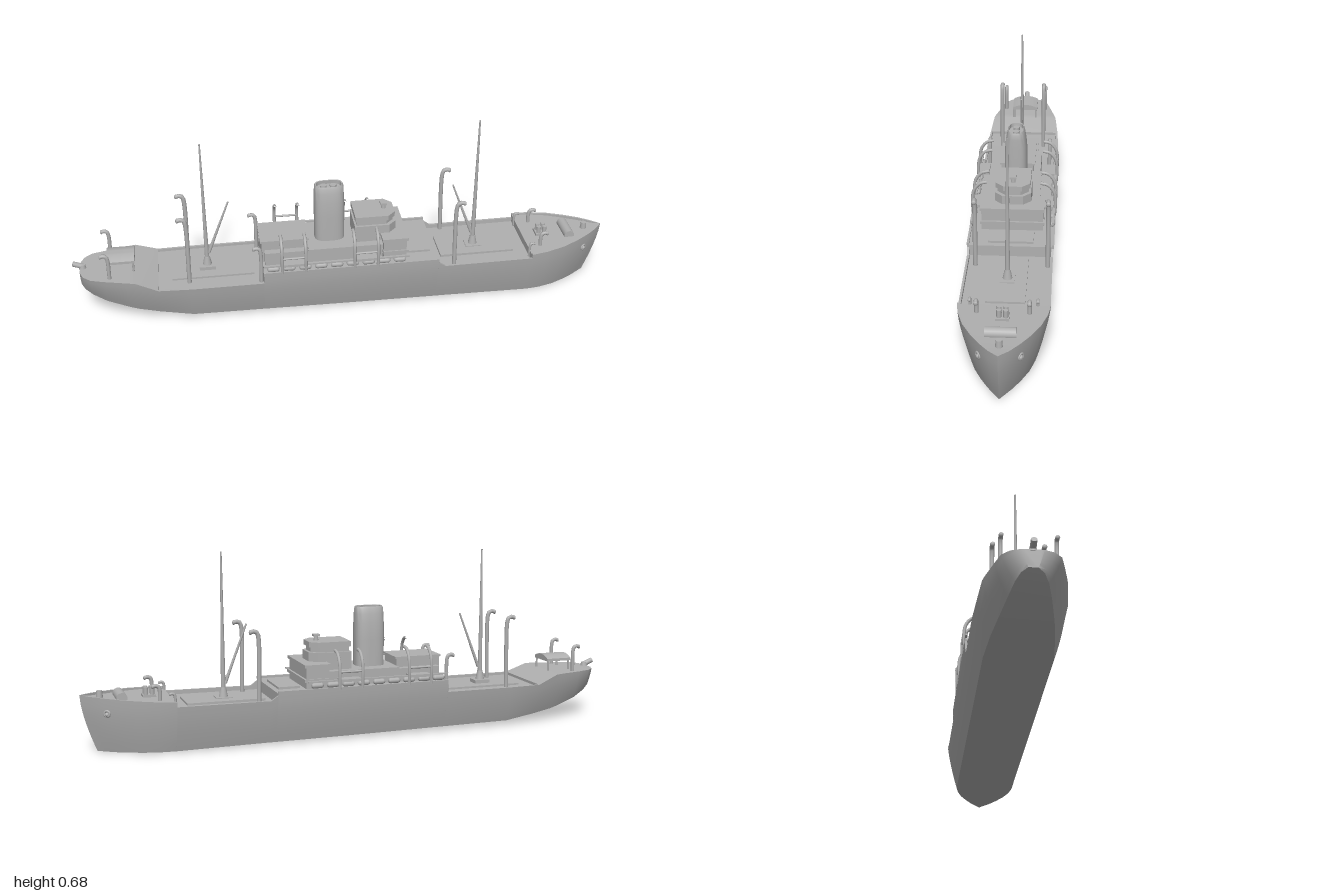
import * as THREE from 'three';
import { toCreasedNormals } from 'three/addons/utils/BufferGeometryUtils.js';

const grey = new THREE.MeshStandardMaterial({ color: 0xb0b0b0 });
grey.name = 'ship grey';

export function createModel() {
  const ship = new THREE.Group();
  ship.name = 'cargoShip';

  const add = (name, geo, x = 0, y = 0, z = 0) => {
    const m = new THREE.Mesh(geo, grey);
    m.name = name;
    m.position.set(x, y, z);
    ship.add(m);
    return m;
  };
  // Box given by its extents along x and y and its half width in z
  const box = (name, x0, x1, y0, y1, hz, z = 0) =>
    add(name, new THREE.BoxGeometry(x1 - x0, y1 - y0, hz * 2), (x0 + x1) / 2, (y0 + y1) / 2, z);
  const cyl = (name, r0, r1, h, x, y, z, n = 12) =>
    add(name, new THREE.CylinderGeometry(r1, r0, h, n), x, y + h / 2, z);
  const tube = (name, pts, r, n = 20) =>
    add(name, new THREE.TubeGeometry(
      new THREE.CatmullRomCurve3(pts.map(p => new THREE.Vector3(...p)), false, 'centripetal'), n, r, 8));
  // Tapered pole between two points
  const pole = (name, a, b, r0, r1) => {
    const A = new THREE.Vector3(...a), d = new THREE.Vector3(...b).sub(A);
    const m = add(name, new THREE.CylinderGeometry(r1, r0, d.length(), 10));
    m.position.copy(A).addScaledVector(d, 0.5);
    m.quaternion.setFromUnitVectors(new THREE.Vector3(0, 1, 0), d.normalize());
    return m;
  };

  // Hull stations: x, bottom height, bottom half width, top half width, rail height, deck height
  const stations = [
    [-0.97, 0.128, 0.015, 0.035, 0.187, 0.187],
    [-0.957, 0.117, 0.035, 0.068, 0.187, 0.187],
    [-0.93, 0.1, 0.05, 0.092, 0.187, 0.187],
    [-0.88, 0.076, 0.065, 0.106, 0.186, 0.186],
    [-0.8, 0.053, 0.082, 0.126, 0.186, 0.186],
    [-0.77, 0.046, 0.088, 0.133, 0.185, 0.185],
    [-0.69, 0.034, 0.1, 0.15, 0.153, 0.153],
    [-0.69, 0.034, 0.1, 0.15, 0.153, 0.143],
    [-0.57, 0.018, 0.112, 0.153, 0.152, 0.142],
    [-0.31, 0.015, 0.112, 0.153, 0.152, 0.142],
    [-0.31, 0.015, 0.112, 0.153, 0.198, 0.19],
    [0, 0.011, 0.112, 0.153, 0.198, 0.19],
    [0.335, 0.008, 0.112, 0.153, 0.198, 0.19],
    [0.335, 0.008, 0.112, 0.153, 0.183, 0.15],
    [0.36, 0.008, 0.112, 0.153, 0.165, 0.15],
    [0.69, 0.004, 0.112, 0.153, 0.167, 0.152],
    [0.69, 0.004, 0.112, 0.153, 0.184, 0.18],
    [0.75, 0.003, 0.105, 0.145, 0.187, 0.181],
    [0.82, 0.002, 0.088, 0.124, 0.191, 0.183],
    [0.88, 0.001, 0.064, 0.094, 0.194, 0.185],
    [0.93, 0, 0.04, 0.063, 0.197, 0.188],
    [0.97, 0, 0.017, 0.032, 0.199, 0.192],
    [1, 0, 0, 0, 0.201, 0.201],
  ];
  const rows = 7, pos = [], idx = [];
  for (const [x, yb, wb, wt, yt, yd] of stations) {
    const half = [];
    for (let i = 0; i < rows; i++) {
      const y = yb + (yt - yb) * i / (rows - 1);
      const t = Math.min(1, (y - yb) / (0.2 - yb));
      const rake = Math.max(0, (x - 0.7) / 0.3) * 0.055 * (1 - t) ** 1.5;
      half.push([x - rake, y, wb + (wt - wb) * (1 - (1 - t) ** 1.5)]);
    }
    const inner = Math.max(0, half[rows - 1][2] - 0.008);
    half.push([x, yt, inner], [x, yd, inner]);
    for (const p of half) pos.push(...p);
    for (const p of half.reverse()) pos.push(p[0], p[1], -p[2]);
  }
  const n = (rows + 2) * 2;
  for (let s = 0; s < stations.length - 1; s++)
    for (let j = 0; j < n; j++) {
      const a = s * n + j, d = s * n + (j + 1) % n;
      idx.push(a, a + n, d + n, a, d + n, d);
    }
  for (let j = 1; j < n - 1; j++) idx.push(0, j, j + 1);
  const hull = new THREE.BufferGeometry();
  hull.setAttribute('position', new THREE.Float32BufferAttribute(pos, 3));
  hull.setIndex(idx);
  add('hull', toCreasedNormals(hull, 0.5));

  // Deckhouses amidships
  box('aftHouse', -0.31, -0.14, 0.14, 0.272, 0.062);
  box('aftHouseRoof', -0.315, -0.135, 0.272, 0.279, 0.067);
  box('engineCasing', -0.3, 0.14, 0.19, 0.24, 0.088);
  box('engineCasingRoof', -0.14, 0.14, 0.24, 0.246, 0.094);
  box('bridgeHouse', 0.135, 0.22, 0.19, 0.266, 0.11);
  box('bridgeRoof', 0.13, 0.226, 0.266, 0.277, 0.115);
  box('bridgeSill', 0.133, 0.228, 0.215, 0.226, 0.115);
  box('forwardHatch', 0.235, 0.315, 0.19, 0.198, 0.08);

  // Wheelhouse: chamfered plan stacked in tiers
  const tier = (name, x0, x1, hz, y0, y1) => {
    const c = 0.028;
    const s = new THREE.Shape([[x0, -hz], [x1 - c, -hz], [x1, -hz + c], [x1, hz - c], [x1 - c, hz], [x0, hz]]
      .map(p => new THREE.Vector2(...p)));
    const g = new THREE.ExtrudeGeometry(s, { depth: y1 - y0, bevelEnabled: false });
    add(name, g.rotateX(-Math.PI / 2), 0, y0, 0);
  };
  tier('wheelhouseBase', 0.035, 0.19, 0.065, 0.24, 0.31);
  tier('wheelhouse', 0.042, 0.18, 0.056, 0.31, 0.328);
  tier('wheelhouseRoof', 0.037, 0.187, 0.062, 0.328, 0.347);
  cyl('compassStand', 0.009, 0.007, 0.024, 0.15, 0.345, 0);
  box('compassHead', 0.138, 0.162, 0.362, 0.37, 0.012);

  // Funnel: rounded-rectangle plan, sides closing in towards a hollow top
  const funnel = new THREE.LatheGeometry([
    [0.055, 0], [0.055, 0.1], [0.055, 0.16], [0.054, 0.195], [0.053, 0.214], [0.05, 0.221],
    [0.046, 0.22], [0.044, 0.205], [0, 0.205],
  ].map(p => new THREE.Vector2(...p)), 40);
  const fp = funnel.attributes.position;
  for (let i = 0; i < fp.count; i++) {
    const x = fp.getX(i), y = fp.getY(i), z = fp.getZ(i), r = Math.hypot(x, z) || 1;
    const square = (Math.abs(x / r) ** 3 + Math.abs(z / r) ** 3 || 1) ** (-1 / 3);
    const close = 0.76 - 0.2 * (Math.max(0, y - 0.12) / 0.1) ** 2;
    fp.setXYZ(i, x * square, y, z * square * close);
  }
  funnel.computeVertexNormals();
  add('funnel', toCreasedNormals(funnel, 0.6), -0.053, 0.244, 0);
  for (const x of [-0.073, -0.037]) cyl('funnelPipe', 0.012, 0.012, 0.012, x, 0.448, 0);

  // Masts with conical feet and derrick booms
  for (const [x, top, bx] of [[0.497, 0.68, 0.41], [-0.508, 0.66, -0.42]]) {
    cyl('mastFoot', 0.02, 0.01, 0.05, x, 0.145, 0);
    pole('mast', [x, 0.15, 0], [x, top, 0], 0.009, 0.003);
    pole('derrickBoom', [x + Math.sign(bx - x) * 0.008, 0.21, 0], [bx, 0.42, 0], 0.006, 0.003);
    box('mastTable', x - 0.03, x + 0.03, 0.14, 0.162, 0.025);
  }

  // Long low cargo hatches in the well decks
  for (const [x0, x1, y] of [[0.36, 0.64, 0.15], [-0.64, -0.34, 0.14]])
    box('cargoHatch', x0, x1, y, y + 0.009, 0.066);

  // Ventilators with a hooked cowl: x, foot, top, z, radius, hook direction
  const vent = (x, y0, y1, z, r, d) => {
    const h = r * 2.2;
    tube('ventilator', [[x, y0, z], [x, y1 - h * 1.6, z], [x + d * h * 0.3, y1 - h * 0.7, z],
      [x + d * h, y1 - r, z], [x + d * h * 1.6, y1 - r * 1.4, z]], r, 24);
    const cap = add('ventilatorMouth', new THREE.SphereGeometry(r * 1.1, 10, 8), x + d * h * 1.6, y1 - r * 1.4, z);
    cap.scale.x = 0.6;
  };
  for (const s of [1, -1]) {
    vent(0.4, 0.15, 0.42, s > 0 ? 0.117 : -0.133, 0.008, 1);
    vent(-0.578, 0.14, 0.418, s * 0.085, 0.008, -1);
    vent(-0.318, 0.14, 0.293, s * 0.118, 0.007, -1);
    vent(-0.862, 0.18, 0.29, s * 0.085, 0.007, -1);
    vent(0.738, 0.18, 0.24, s * 0.085, 0.007, 1);
    vent(0.69, 0.15, 0.212, s * 0.11, 0.005, 1);

    // Boat stations: paired davits, tie rails and a side platform
    for (const xc of [-0.2, 0.065]) {
      for (const dx of [-0.043, 0.043])
        tube('davit', [[xc + dx, 0.19, s * 0.148], [xc + dx, 0.25, s * 0.151], [xc + dx, 0.29, s * 0.144],
          [xc + dx, 0.316, s * 0.122], [xc + dx, 0.322, s * 0.097]], 0.006);
      pole('davitRail', [xc - 0.043, 0.252, s * 0.15], [xc + 0.043, 0.252, s * 0.15], 0.004, 0.004);
      box('davitPlatform', xc - 0.04, xc + 0.04, 0.215, 0.225, 0.02, s * 0.13);
    }
    // Row of stowed rafts along the side deck
    for (let i = 0; i < 9; i++) {
      const raft = add('raft', new THREE.CapsuleGeometry(0.01, 0.026, 4, 10), -0.275 + i * 0.058, 0.208, s * 0.142);
      raft.rotation.z = Math.PI / 2;
    }
    box('sideDeckRail', -0.31, 0.225, 0.219, 0.225, 0.004, s * 0.146);

    // Anchor hawse ring and anchor
    const hawse = add('hawseRing', new THREE.TorusGeometry(0.01, 0.004, 8, 16), 0.916, 0.143, s * 0.066);
    hawse.rotation.y = s * 0.62;
    add('anchor', new THREE.SphereGeometry(0.008, 10, 8), 0.916, 0.14, s * 0.065);
  }

  // Stern shelter: arched roof on posts
  const arch = new THREE.Shape();
  arch.moveTo(-0.052, 0);
  arch.quadraticCurveTo(0, 0.026, 0.052, 0);
  arch.lineTo(0.052, -0.01);
  arch.lineTo(-0.052, -0.01);
  const roof = new THREE.ExtrudeGeometry(arch, { depth: 0.1, bevelEnabled: false, curveSegments: 12 });
  add('shelterRoof', toCreasedNormals(roof.rotateY(Math.PI / 2), 0.5), -0.87, 0.232, 0);
  for (const x of [-0.864, -0.776])
    for (const z of [-0.046, 0.046]) cyl('shelterPost', 0.004, 0.004, 0.05, x, 0.18, z, 8);

  // Stern gun
  cyl('gunMount', 0.014, 0.01, 0.018, -0.96, 0.183, 0);
  pole('gunBarrel', [-0.96, 0.193, 0], [-0.994, 0.207, 0], 0.01, 0.01);

  // Forecastle gear: winch, windlass and capstan
  for (const x of [0.752, 0.774])
    for (const z of [-0.011, 0.011]) cyl('winchDrum', 0.008, 0.008, 0.036, x, 0.18, z);
  box('winchBed', 0.74, 0.786, 0.18, 0.19, 0.022);
  const windlass = add('windlass', new THREE.CylinderGeometry(0.019, 0.019, 0.1, 16), 0.862, 0.19, 0);
  windlass.rotation.x = Math.PI / 2;
  cyl('capstan', 0.012, 0.01, 0.025, 0.932, 0.188, 0);

  return ship;
}
